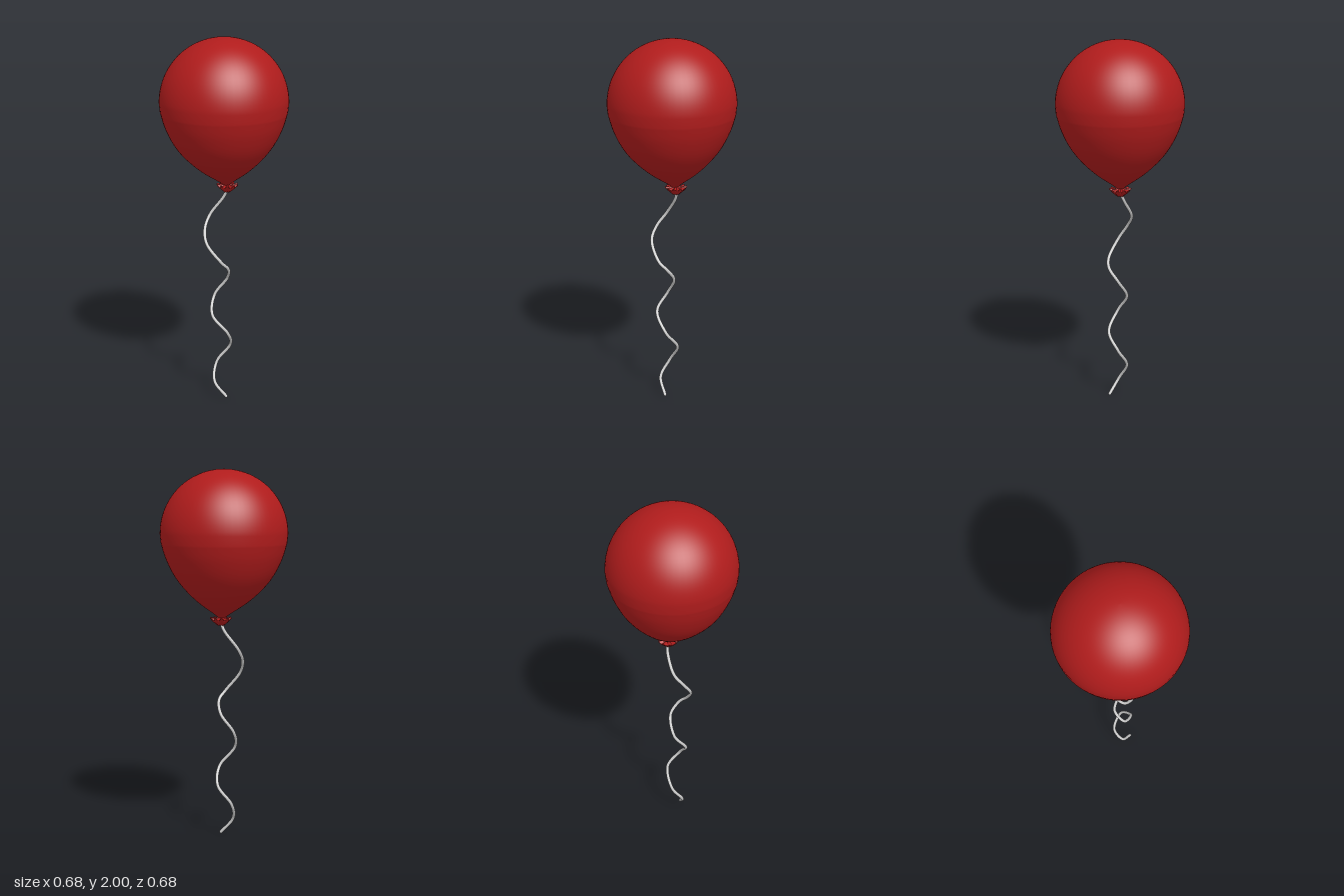
import * as THREE from 'three';

const V2 = (p) => new THREE.Vector2(p[0], p[1]);

export function createModel() {
  const group = new THREE.Group();
  const red = new THREE.MeshStandardMaterial({ color: 0xb01c1c });
  const redThin = new THREE.MeshStandardMaterial({ color: 0xb01c1c, side: THREE.DoubleSide });
  const grey = new THREE.MeshStandardMaterial({ color: 0xcccccc });
  const add = (name, geometry, material) => {
    const mesh = new THREE.Mesh(geometry, material);
    mesh.name = name;
    group.add(mesh);
    return mesh;
  };

  // Envelope: teardrop below, hemisphere above
  const R = 0.341, midY = 1.659;
  const profile = new THREE.SplineCurve([
    [0.012, 1.2], [0.03, 1.222], [0.13, 1.291], [0.21, 1.365], [0.268, 1.44], [0.312, 1.53], [0.336, 1.61],
  ].map(V2)).getPoints(30);
  for (let i = 0; i <= 24; i++) {
    const a = (i / 24) * Math.PI / 2;
    profile.push(new THREE.Vector2(i === 24 ? 0 : R * Math.cos(a), midY + R * Math.sin(a)));
  }
  const body = new THREE.LatheGeometry(profile, 64);
  // The tip leans slightly backwards
  const pos = body.attributes.position;
  for (let i = 0; i < pos.count; i++) {
    const t = Math.max(0, (1.45 - pos.getY(i)) / 0.25);
    pos.setZ(i, pos.getZ(i) - 0.018 * t * t);
  }
  body.computeVertexNormals();
  // Join the normals along the lathe seam
  const n = body.attributes.normal, rows = profile.length;
  for (let j = 0; j < rows; j++) {
    const a = new THREE.Vector3().fromBufferAttribute(n, j);
    const k = 64 * rows + j;
    a.add(new THREE.Vector3().fromBufferAttribute(n, k)).normalize();
    n.setXYZ(j, a.x, a.y, a.z);
    n.setXYZ(k, a.x, a.y, a.z);
  }
  add('balloon', body, red);

  // Tied knot with a pleated lip
  const lip = new THREE.LatheGeometry(
    [[0.001, 1.172], [0.018, 1.172], [0.034, 1.186], [0.054, 1.203], [0.052, 1.209], [0.03, 1.207], [0.012, 1.216]].map(V2), 60);
  const lp = lip.attributes.position;
  for (let i = 0; i < lp.count; i++) {
    const x = lp.getX(i), z = lp.getZ(i), r = Math.hypot(x, z);
    const wave = Math.cos(Math.atan2(z, x) * 10), s = 1 + 0.11 * wave * Math.min(1, r / 0.04);
    lp.setXYZ(i, x * s, lp.getY(i) + 0.007 * wave * (r / 0.054), z * s);
  }
  lip.computeVertexNormals();
  add('knot', lip, redThin).position.z = -0.022;

  // Curling string
  const path = new THREE.CatmullRomCurve3([
    [0, 1.19, -0.025], [-0.022, 1.14, -0.015], [-0.066, 1.04, 0.045], [-0.045, 0.97, 0.095], [-0.002, 0.9, 0.113],
    [0.058, 0.8, 0.06], [0.058, 0.755, 0.015], [0.01, 0.685, -0.014], [-0.04, 0.585, 0.035],
    [0.005, 0.49, 0.083], [0.06, 0.385, 0.02], [0.012, 0.29, -0.034], [-0.04, 0.185, 0.02],
    [0, 0.09, 0.065], [0.056, 0.009, 0.027],
  ].map((p) => new THREE.Vector3(...p)));
  add('string', new THREE.TubeGeometry(path, 160, 0.009, 10), grey);
  const end = add('stringEnd', new THREE.SphereGeometry(0.009, 10, 8), grey);
  end.position.set(0.056, 0.009, 0.027);
  return group;
}
